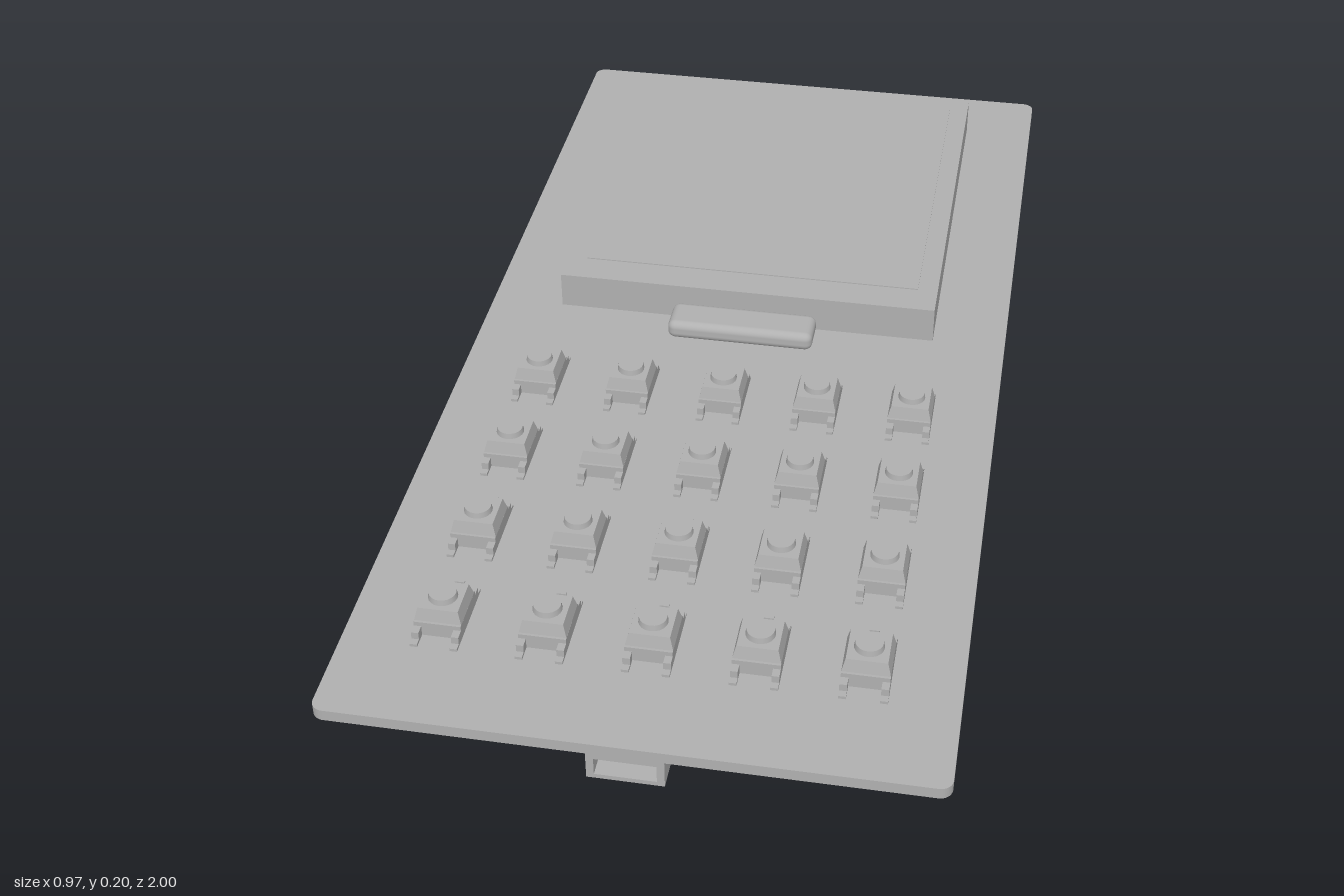
import * as THREE from 'three';
import { RoundedBoxGeometry } from 'three/addons/geometries/RoundedBoxGeometry.js';

const grey = new THREE.MeshStandardMaterial({ color: 0xb0b0b0 });
grey.name = 'grey';

function add(parent, name, geometry, x = 0, y = 0, z = 0) {
  const mesh = new THREE.Mesh(geometry, grey);
  mesh.name = name;
  mesh.position.set(x, y, z);
  parent.add(mesh);
  return mesh;
}

// box given by its limits on each axis
function block(parent, name, [x0, x1], [y0, y1], [z0, z1]) {
  return add(parent, name, new THREE.BoxGeometry(x1 - x0, y1 - y0, z1 - z0),
    (x0 + x1) / 2, (y0 + y1) / 2, (z0 + z1) / 2);
}

// flat slab with rounded corners, lying in the xz plane from y0 to y1
function slab(parent, name, w, d, r, y0, y1, x, z) {
  const a = w / 2, b = d / 2;
  const s = new THREE.Shape();
  s.moveTo(-a + r, -b).lineTo(a - r, -b).absarc(a - r, -b + r, r, -Math.PI / 2, 0)
    .absarc(a - r, b - r, r, 0, Math.PI / 2)
    .absarc(-a + r, b - r, r, Math.PI / 2, Math.PI)
    .absarc(-a + r, -b + r, r, Math.PI, Math.PI * 1.5);
  const g = new THREE.ExtrudeGeometry(s, { depth: y1 - y0, bevelEnabled: false, curveSegments: 5 });
  g.rotateX(-Math.PI / 2);
  return add(parent, name, g, x, y0, z);
}

// one push button: bevelled body, round cap and solder legs
function pushButton(x, z) {
  const b = new THREE.Group();
  b.name = 'pushButton';
  b.position.set(x, 0.13, z);
  block(b, 'buttonBase', [-0.038, 0.038], [0, 0.026], [-0.042, 0.042]);
  const top = new THREE.CylinderGeometry(0.046, 0.0537, 0.022, 4, 1);
  top.rotateY(Math.PI / 4);
  add(b, 'buttonTop', top.toNonIndexed(), 0, 0.037, 0).geometry.computeVertexNormals();
  add(b, 'buttonCap', new THREE.CylinderGeometry(0.022, 0.024, 0.012, 20), 0, 0.052, 0);
  for (const sx of [-1, 1]) for (const sz of [-1, 1]) {
    const lx = sx * 0.032;
    block(b, 'legRiser', [lx - 0.006, lx + 0.006], [0, 0.018], [sz * 0.05 - 0.008, sz * 0.05 + 0.008]);
    block(b, 'legFoot', [lx - 0.006, lx + 0.006], [0, 0.005], [sz * 0.06 - 0.01, sz * 0.06 + 0.01]);
  }
  block(b, 'marker', [-0.008, 0.008], [0, 0.003], [-0.087, -0.082]);
  return b;
}

export function createModel() {
  const model = new THREE.Group();
  model.name = 'handheldBoard';

  // circuit board
  slab(model, 'circuitBoard', 0.97, 2, 0.02, 0.11, 0.13, 0, 0);

  // screen, its raised window and the folded ribbon cable
  block(model, 'screen', [-0.352, 0.352], [0.13, 0.198], [-0.867, -0.093]);
  block(model, 'screenWindow', [-0.315, 0.315], [0.198, 0.2], [-0.835, -0.155]);
  add(model, 'ribbonCable', new RoundedBoxGeometry(0.27, 0.036, 0.075, 3, 0.014), 0, 0.148, -0.055);

  // keypad
  for (const z of [0.145, 0.355, 0.565, 0.775])
    for (let i = -2; i <= 2; i++) model.add(pushButton(i * 0.1677, z));

  // battery under the board
  add(model, 'battery', new RoundedBoxGeometry(0.765, 0.115, 0.94, 2, 0.008), 0, 0.0575, 0.16);

  // arched bracket in front of the battery
  const arch = new THREE.Shape();
  arch.moveTo(-0.415, 0.11).lineTo(-0.415, 0.012).lineTo(-0.37, 0.012)
    .quadraticCurveTo(-0.2, 0.072, 0, 0.074).quadraticCurveTo(0.2, 0.072, 0.37, 0.012)
    .lineTo(0.41, 0.012).lineTo(0.41, 0.11).closePath();
  add(model, 'bracket', new THREE.ExtrudeGeometry(arch,
    { depth: 0.06, bevelEnabled: false, curveSegments: 10 }), 0, 0, 0.68);
  block(model, 'bracketLedge', [-0.39, 0.39], [0.045, 0.11], [0.62, 0.68]);

  // charging socket with an open front
  const shell = new THREE.Shape();
  shell.moveTo(-0.06, 0.06).lineTo(0.06, 0.06).lineTo(0.06, 0.11).lineTo(-0.06, 0.11).closePath();
  const hole = new THREE.Path();
  hole.moveTo(-0.048, 0.068).lineTo(-0.048, 0.1).lineTo(0.048, 0.1).lineTo(0.048, 0.068).closePath();
  shell.holes.push(hole);
  add(model, 'socketShell', new THREE.ExtrudeGeometry(shell, { depth: 0.1, bevelEnabled: false }), 0, 0, 0.9);
  block(model, 'socketInside', [-0.05, 0.05], [0.066, 0.102], [0.902, 0.97]);

  // pin rows either side of the socket
  for (const s of [-1, 1]) {
    for (let i = 0; i < 6; i++) {
      const x = s * (0.215 + i * 0.031);
      block(model, 'pin', [x - 0.008, x + 0.008], [0.095, 0.11], [0.83, 0.97]);
    }
    block(model, 'pinHousing', [s * 0.29 - 0.088, s * 0.29 + 0.088], [0.088, 0.11], [0.86, 0.93]);
  }

  // rounded modules and the flat chip near the back edge
  for (const x of [-0.235, 0.23]) slab(model, 'roundedModule', 0.19, 0.18, 0.035, 0.07, 0.11, x, -0.815);
  block(model, 'flatChip', [-0.12, 0.08], [0.098, 0.11], [-0.95, -0.8]);

  // stepped controller
  slab(model, 'controllerBase', 0.13, 0.13, 0.01, 0.088, 0.11, 0, -0.515);
  slab(model, 'controllerStep', 0.075, 0.075, 0.008, 0.056, 0.088, 0, -0.515);

  // side jack
  block(model, 'jackBody', [-0.465, -0.3], [0.052, 0.11], [-0.44, -0.36]);
  const ring = new THREE.CylinderGeometry(0.032, 0.032, 0.022, 20);
  ring.rotateZ(Math.PI / 2);
  add(model, 'jackRing', ring, -0.474, 0.077, -0.4);

  // small lamps along both edges
  for (const s of [-1, 1]) for (const z of [-0.84, -0.52, -0.2, 0.18, 0.51, 0.79]) {
    const x = s * 0.425;
    block(model, 'edgeLamp', [x - 0.03, x + 0.03], [0.087, 0.11], [z - 0.03, z + 0.03]);
    block(model, 'lampPads', [x - 0.04, x + 0.04], [0.104, 0.11], [z - 0.022, z + 0.022]);
  }
  return model;
}
